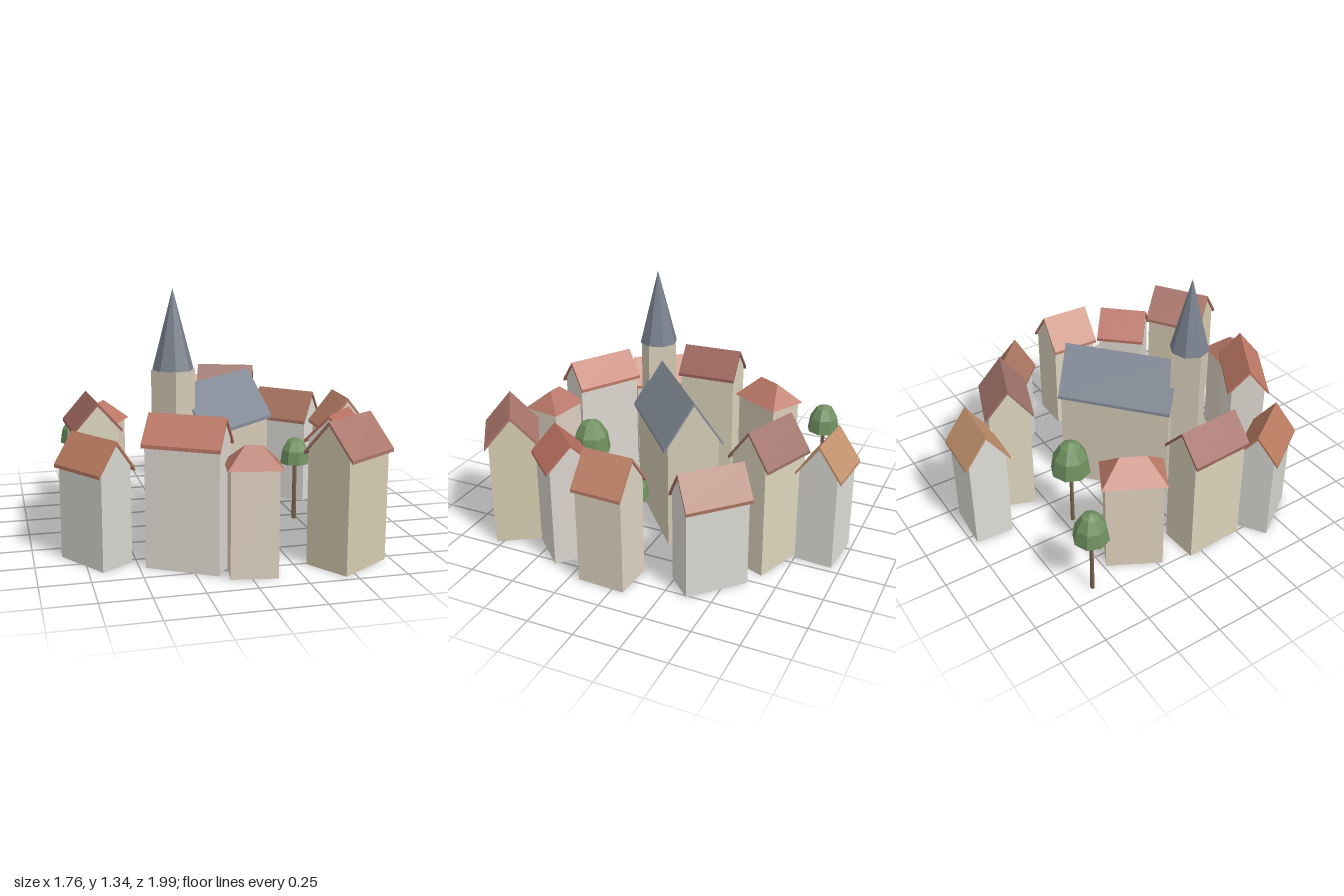
import * as THREE from 'three';
import { ConvexGeometry } from 'three/addons/geometries/ConvexGeometry.js';

const EAVE = 0.022, GABLE = 0.01, THICK = 0.018;

function mesh(name, geometry, color, side = THREE.FrontSide) {
  const m = new THREE.Mesh(geometry, new THREE.MeshStandardMaterial({ color, flatShading: true, side }));
  m.name = name;
  return m;
}

// Extrudes a cross-section (across, height) along the ridge, which runs on x
function extrudeAlongX(points, length) {
  const shape = new THREE.Shape(points.map(([a, b]) => new THREE.Vector2(a, b)));
  const g = new THREE.ExtrudeGeometry(shape, { depth: length, bevelEnabled: false });
  return g.translate(0, 0, -length / 2).rotateY(Math.PI / 2);
}

// Five-sided walls under a thin folded roof
function gableHouse({ len, wid, eave, ridge, wall, roof }) {
  const group = new THREE.Group();
  const h = wid / 2, w = h - EAVE;
  const wallTop = eave + (ridge - eave) * EAVE / h - THICK / 2;
  group.add(mesh('walls', extrudeAlongX(
    [[-w, 0], [w, 0], [w, wallTop], [0, ridge - THICK / 2], [-w, wallTop]], len - 2 * GABLE), wall));
  group.add(mesh('roof', extrudeAlongX(
    [[-h, eave], [-h, eave - THICK], [0, ridge - THICK], [h, eave - THICK], [h, eave], [0, ridge]], len), roof));
  return group;
}

// Box walls under a solid hipped roof
function hipHouse({ len, wid, eave, ridge, top, wall, roof }) {
  const group = new THREE.Group();
  const box = new THREE.BoxGeometry(len - 0.036, eave, wid - 0.036).translate(0, eave / 2, 0);
  group.add(mesh('walls', box, wall));
  const pts = [];
  for (const s of [-1, 1]) {
    for (const t of [-1, 1]) pts.push(new THREE.Vector3(s * len / 2, eave, t * wid / 2));
    pts.push(new THREE.Vector3(s * top / 2, ridge, 0));
  }
  group.add(mesh('hipRoof', new ConvexGeometry(pts), roof));
  return group;
}

// Dome crown on a thin trunk
function tree(x, z, r, trunkHeight) {
  const group = new THREE.Group();
  group.name = 'tree';
  const trunk = new THREE.CylinderGeometry(0.01, 0.013, trunkHeight + r, 6);
  group.add(mesh('trunk', trunk.translate(0, (trunkHeight + r) / 2, 0), 0x75604c));
  const crown = new THREE.SphereGeometry(r, 8, 3, 0, Math.PI * 2, 0, Math.PI / 2);
  crown.scale(1, 1.7, 1).translate(0, trunkHeight, 0);
  group.add(mesh('crown', crown, 0x6f9060, THREE.DoubleSide));
  group.position.set(x, 0, z);
  return group;
}

// x, z, turn, ridge length, width, eave height, ridge height, wall, roof, ridge of a hipped roof
const HOUSES = [
  [0.071, -0.863, -0.07, 0.291, 0.25, 0.515, 0.69, 0xdddcd6, 0xc4936f],
  [0.245, -0.60, -0.355, 0.335, 0.262, 0.618, 0.79, 0xddd5bd, 0xa0736a],
  [0.578, -0.42, -0.765, 0.358, 0.228, 0.495, 0.655, 0xdcdad4, 0xa87460],
  [0.739, 0.062, -1.61, 0.28, 0.27, 0.54, 0.71, 0xddd3c0, 0xbd8068],
  [0.604, 0.40, 0.825, 0.28, 0.269, 0.548, 0.687, 0xdad4cd, 0xb86e60],
  [0.517, 0.773, 0.58, 0.348, 0.287, 0.578, 0.745, 0xd6cbb0, 0xac776c],
  [0.025, 0.797, -0.16, 0.268, 0.226, 0.535, 0.635, 0xdccfbf, 0xb47466, 0.08],
  [-0.261, 0.644, -0.54, 0.398, 0.225, 0.628, 0.763, 0xddd6cf, 0xbd7865],
  [-0.691, 0.457, -0.985, 0.339, 0.233, 0.49, 0.64, 0xd6d6d0, 0xb87a60],
  [-0.657, 0.088, -1.51, 0.35, 0.253, 0.62, 0.762, 0xdad3bb, 0x9c655b],
  [-0.57, -0.309, 1.08, 0.335, 0.232, 0.535, 0.65, 0xdccdbb, 0xbd7a68, 0.14],
];

export function createModel() {
  const model = new THREE.Group();
  model.name = 'village';

  // Ring of houses
  for (const [x, z, turn, len, wid, eave, ridge, wall, roof, top] of HOUSES) {
    const spec = { len, wid, eave, ridge, top, wall, roof };
    const house = top ? hipHouse(spec) : gableHouse(spec);
    house.name = 'house';
    house.position.set(x, 0, z);
    house.rotation.y = turn;
    model.add(house);
  }

  // Church: nave, tower and eight-sided spire
  const church = new THREE.Group();
  church.name = 'church';
  const turn = 0.715;
  const nave = gableHouse({ len: 0.636, wid: 0.325, eave: 0.58, ridge: 0.83, wall: 0xd4cab6, roof: 0x858d99 });
  nave.name = 'nave';
  nave.position.set(0.034, 0, 0.013);
  nave.rotation.y = turn;
  const tower = mesh('tower', new THREE.BoxGeometry(0.16, 0.92, 0.16), 0xd4cab6);
  tower.position.set(-0.253, 0.46, 0.258);
  tower.rotation.y = turn;
  const spire = mesh('spire', new THREE.ConeGeometry(0.107, 0.415, 8), 0x79818e);
  spire.position.set(-0.253, 1.1275, 0.258);
  spire.rotation.y = turn;
  church.add(nave, tower, spire);
  model.add(church);

  // Trees
  model.add(
    tree(-0.673, -0.625, 0.095, 0.35),
    tree(-0.182, -0.45, 0.11, 0.36),
    tree(0.48, 0.062, 0.086, 0.33),
    tree(0.137, 0.50, 0.11, 0.36),
  );
  return model;
}
